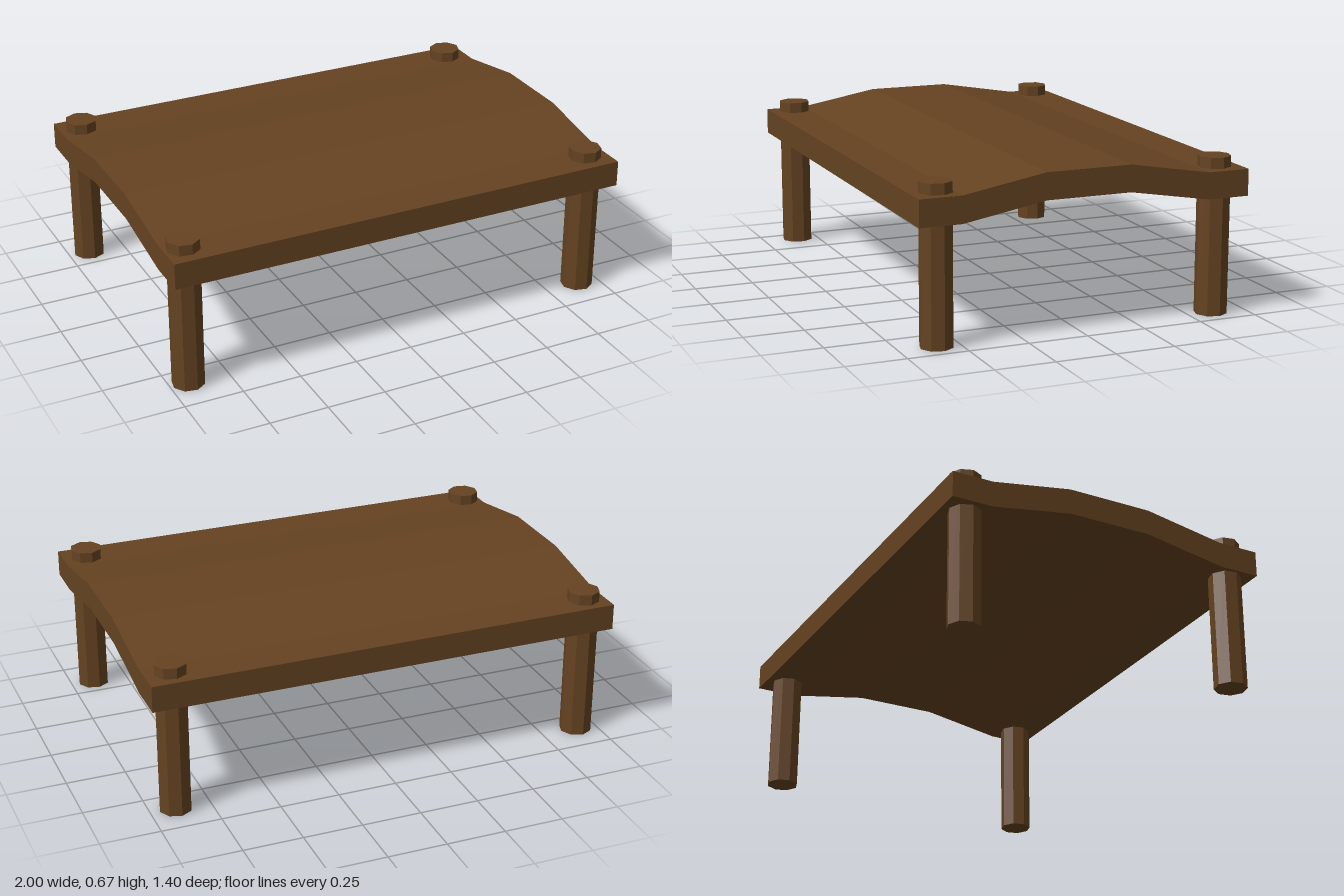
import * as THREE from 'three';

export function createModel() {
  const group = new THREE.Group();
  group.name = 'lowTable';
  const wood = new THREE.MeshStandardMaterial({ color: 0x654321, flatShading: true });

  // Arched deck: side profile of [z, bottom y], extruded across the width
  const thickness = 0.11;
  const arch = [[-0.7, 0.5], [-0.525, 0.5], [-0.18, 0.56], [0.18, 0.56], [0.525, 0.5], [0.7, 0.5]];
  const outline = [
    ...arch.map(([z, y]) => new THREE.Vector2(z, y)),
    ...arch.map(([z, y]) => new THREE.Vector2(z, y + thickness)).reverse(),
  ];
  const deckGeometry = new THREE.ExtrudeGeometry(new THREE.Shape(outline), { depth: 2, bevelEnabled: false });
  deckGeometry.translate(0, 0, -1).rotateY(-Math.PI / 2);
  const deck = new THREE.Mesh(deckGeometry, wood);
  deck.name = 'archedDeck';
  group.add(deck);

  // Octagonal posts poking through the deck, slightly irregular in placement
  const height = 0.655;
  const postGeometry = new THREE.CylinderGeometry(0.068, 0.068, height, 8);
  const posts = [
    ['backRightPost', -0.908, -0.602, 0.05],
    ['backLeftPost', 0.894, -0.602, 0.1],
    ['frontRightPost', -0.921, 0.593, 0.2],
    ['frontLeftPost', 0.9, 0.596, 0.15],
  ];
  for (const [name, x, z, turn] of posts) {
    const post = new THREE.Mesh(postGeometry, wood);
    post.name = name;
    post.position.set(x, height / 2, z);
    post.rotation.y = turn;
    group.add(post);
  }
  return group;
}
